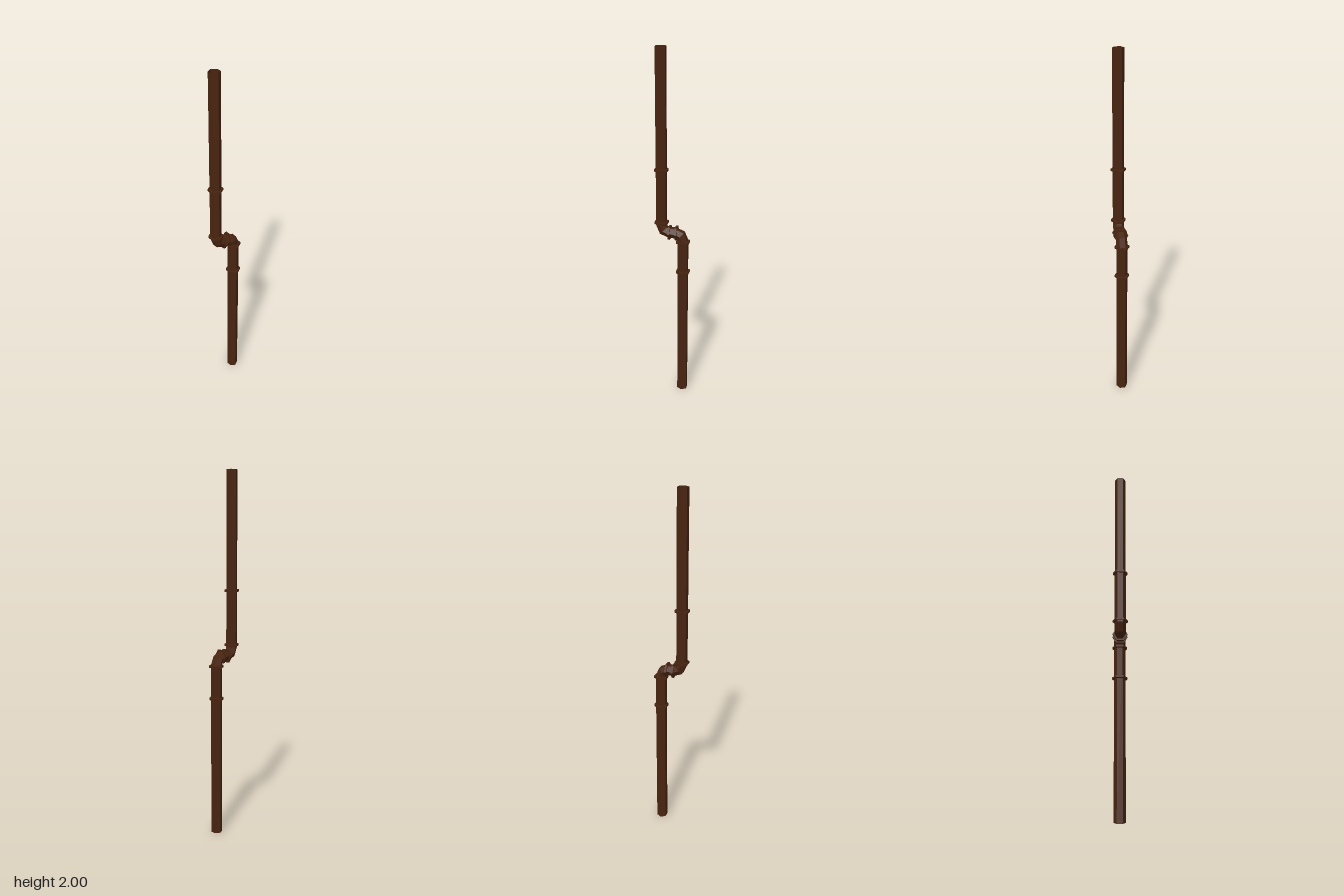
import * as THREE from 'three';

const SIDES = 6;
const PIPE_R = 0.031;      // pipe corner radius
const FLANGE_R = 0.041;    // collar corner radius
const FLANGE_H = 0.012;    // collar thickness
const OFFSET = 0.0605;     // z distance of each upright pipe from the centre
const BEND = 0.043;        // elbow radius
const MID_Y = 1.0;         // height of the cross pipe

const brown = new THREE.MeshStandardMaterial({ color: 0x4a2511, flatShading: true, side: THREE.DoubleSide });
brown.name = 'rustBrown';

// Open hexagonal tube through rings {y, z, t}; t is the tilt from +y towards +z
function hexTube(rings) {
  const pos = [], idx = [];
  for (const { y, z, t } of rings) {
    for (let j = 0; j < SIDES; j++) {
      const a = Math.PI / 6 + (j / SIDES) * Math.PI * 2;
      const p = PIPE_R * Math.cos(a);
      pos.push(PIPE_R * Math.sin(a), y - p * Math.sin(t), z + p * Math.cos(t));
    }
  }
  for (let i = 0; i < rings.length - 1; i++) {
    for (let j = 0; j < SIDES; j++) {
      const a = i * SIDES + j, b = i * SIDES + (j + 1) % SIDES;
      idx.push(a, b, b + SIDES, a, b + SIDES, a + SIDES);
    }
  }
  const g = new THREE.BufferGeometry();
  g.setAttribute('position', new THREE.Float32BufferAttribute(pos, 3));
  g.setIndex(idx);
  const flat = g.toNonIndexed();
  flat.computeVertexNormals();
  return flat;
}

// Hexagonal collar ring, open in the middle where the pipe passes through
function collarGeometry() {
  const h = FLANGE_H / 2;
  const profile = [[PIPE_R, -h], [FLANGE_R, -h], [FLANGE_R, h], [PIPE_R, h]]
    .map(([x, y]) => new THREE.Vector2(x, y));
  const g = new THREE.LatheGeometry(profile, SIDES, Math.PI / 6).toNonIndexed();
  g.computeVertexNormals();
  return g;
}

export function createModel() {
  const model = new THREE.Group();
  model.name = 'offsetPipe';

  const add = (name, geometry) => {
    const mesh = new THREE.Mesh(geometry, brown);
    mesh.name = name;
    model.add(mesh);
    return mesh;
  };

  // Elbows: quarter bends in two straight steps
  const steps = [0, Math.PI / 4, Math.PI / 2];
  const inner = OFFSET - BEND;
  const lowerBend = steps.map((f) => ({
    y: MID_Y - BEND + BEND * Math.sin(f), z: -inner - BEND * Math.cos(f), t: f,
  }));
  const upperBend = steps.map((f) => ({
    y: MID_Y + BEND - BEND * Math.cos(f), z: inner + BEND * Math.sin(f), t: Math.PI / 2 - f,
  }));

  // Pipes and bends from the ground up
  add('lowerPipe', hexTube([{ y: 0, z: -OFFSET, t: 0 }, lowerBend[0]]));
  add('lowerElbow', hexTube(lowerBend));
  add('crossPipe', hexTube([lowerBend[2], upperBend[0]]));
  add('upperElbow', hexTube(upperBend));
  add('upperPipe', hexTube([upperBend[2], { y: 2, z: OFFSET, t: 0 }]));

  // Collars on the upright pipes
  const collar = collarGeometry();
  for (const [y, z] of [[0.77, -OFFSET], [0.95, -OFFSET], [1.057, OFFSET], [1.356, OFFSET]]) {
    add('pipeCollar', collar).position.set(0, y, z);
  }

  // Collars on the cross pipe
  for (const z of [-0.023, 0.015]) {
    const ring = add('crossCollar', collar);
    ring.position.set(0, MID_Y, z);
    ring.rotation.x = Math.PI / 2;
  }

  return model;
}
